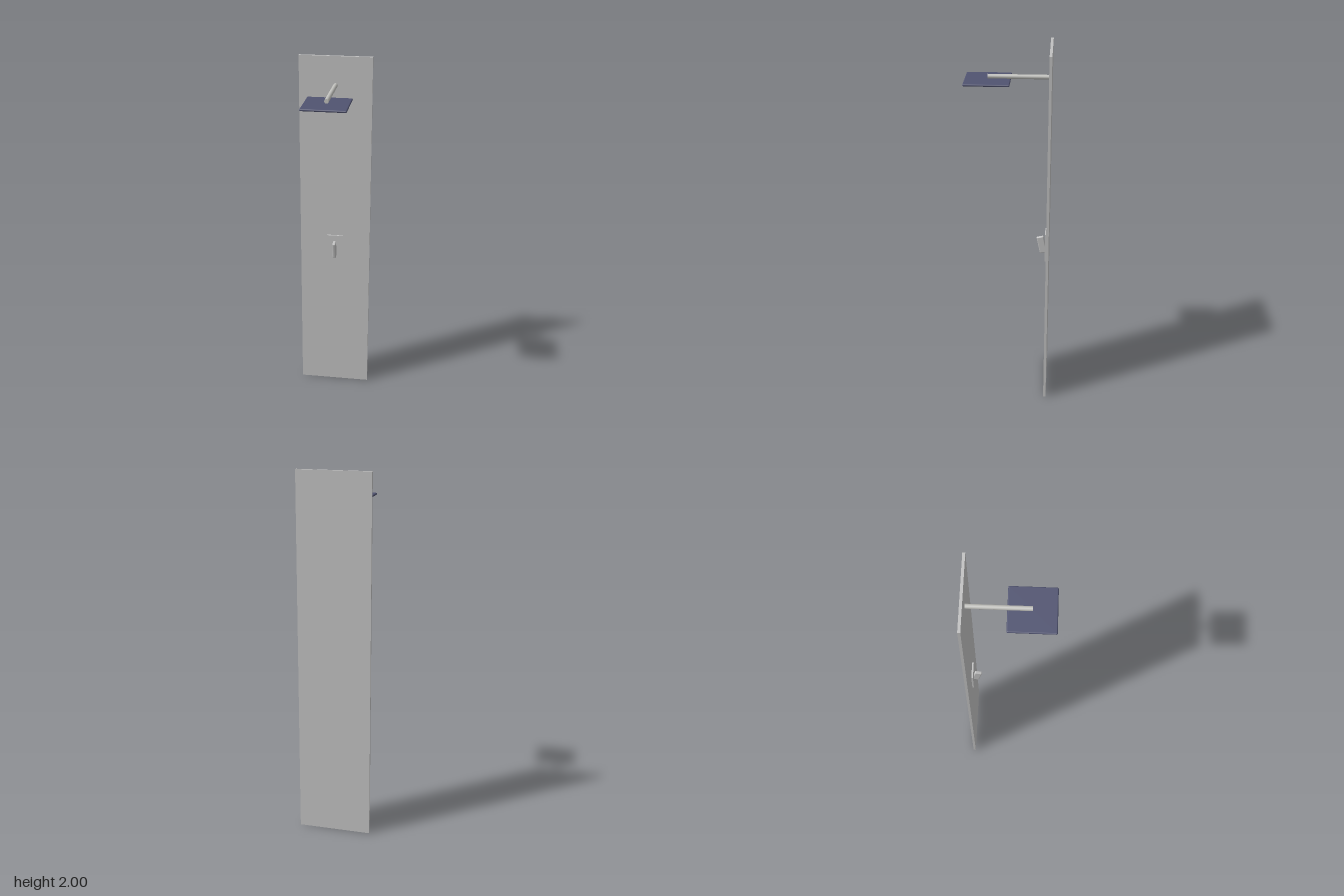
import * as THREE from 'three';
import { RoundedBoxGeometry } from 'three/addons/geometries/RoundedBoxGeometry.js';

export function createModel() {
  const model = new THREE.Group();
  const material = (name, color) => {
    const m = new THREE.MeshStandardMaterial({ color });
    m.name = name;
    return m;
  };
  const grey = material('panel grey', 0xc0c0c0);
  const metal = material('brushed metal', 0xc0c0bc);
  const slate = material('slate blue', 0x505370);

  const add = (name, geometry, mat, x, y, z) => {
    const mesh = new THREE.Mesh(geometry, mat);
    mesh.name = name;
    mesh.position.set(x, y, z);
    model.add(mesh);
    return mesh;
  };

  // Tall wall panel at the back
  add('wallPanel', new THREE.BoxGeometry(0.4, 2, 0.014), grey, 0, 1, -0.221);

  // Horizontal arm carrying the square shower head
  const arm = add('showerArm', new THREE.CylinderGeometry(0.012, 0.012, 0.322, 24), metal, 0, 1.842, -0.054);
  arm.rotation.x = Math.PI / 2;
  add('showerHead', new RoundedBoxGeometry(0.24, 0.012, 0.24, 4, 0.006), slate, 0, 1.825, 0.107);

  // Valve plate with its tilted lever
  add('valvePlate', new THREE.BoxGeometry(0.094, 0.162, 0.009), grey, 0, 0.882, -0.2095);
  const lever = add('valveLever', new RoundedBoxGeometry(0.018, 0.1, 0.04, 4, 0.006), grey, 0, 0.883, -0.187);
  lever.rotation.x = 0.21;

  return model;
}
